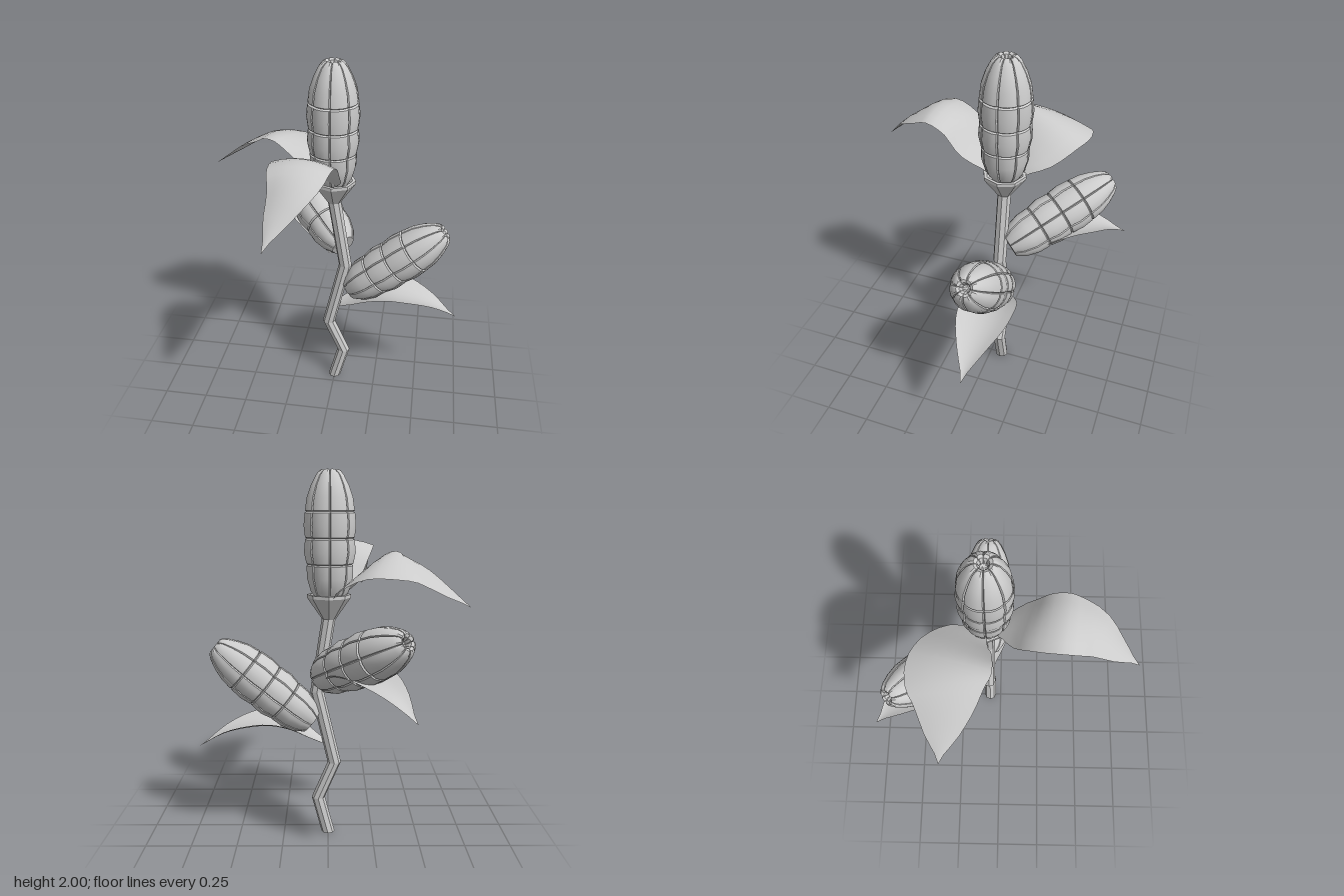
import * as THREE from 'three';
import { toCreasedNormals } from 'three/addons/utils/BufferGeometryUtils.js';

const smooth = new THREE.MeshStandardMaterial({ color: 0xcccccc });
const faceted = new THREE.MeshStandardMaterial({ color: 0xcccccc, flatShading: true });
const thin = new THREE.MeshStandardMaterial({ color: 0xcccccc, side: THREE.DoubleSide });

function addMesh(parent, name, geometry, material) {
  const mesh = new THREE.Mesh(geometry, material);
  mesh.name = name;
  parent.add(mesh);
  return mesh;
}

// Surface through a grid of points; point(i, j) returns [x, y, z].
function gridSurface(rows, cols, point, closed) {
  const positions = [], index = [];
  const stride = closed ? cols : cols + 1;
  for (let i = 0; i <= rows; i++)
    for (let j = 0; j < stride; j++) positions.push(...point(i, j));
  for (let i = 0; i < rows; i++)
    for (let j = 0; j < cols; j++) {
      const k = (j + 1) % stride;
      const a = i * stride + j, b = i * stride + k;
      index.push(a, b, b + stride, a, b + stride, a + stride);
    }
  const geometry = new THREE.BufferGeometry();
  geometry.setAttribute('position', new THREE.Float32BufferAttribute(positions, 3));
  geometry.setIndex(index);
  geometry.computeVertexNormals();
  return geometry;
}

// Zigzag stem: octagonal rings [x, y, radius].
function stemGeometry() {
  const rings = [[0, 0, 0.001], [0, 0, 0.037], [0.055, 0.21, 0.037], [-0.035, 0.42, 0.037],
    [0.06, 0.83, 0.037], [-0.008, 1.26, 0.037]];
  return gridSurface(rings.length - 1, 8, (i, j) => {
    const [x, y, r] = rings[i], a = (j / 8) * Math.PI * 2;
    return [x + r * Math.sin(a), y, r * Math.cos(a) - 0.07];
  }, true);
}

// Cob: profile [height, radius] with notches between kernel rows, grooved into 8 columns.
function cobGeometry() {
  const profile = [[0, 0.001], [0, 0.07], [0.05, 0.102], [0.12, 0.122], [0.184, 0.124],
    [0.19, 0.116], [0.196, 0.125], [0.255, 0.137], [0.319, 0.131], [0.325, 0.122],
    [0.331, 0.131], [0.39, 0.138], [0.454, 0.132], [0.46, 0.122], [0.466, 0.13],
    [0.53, 0.121], [0.59, 0.1], [0.64, 0.074], [0.663, 0.056], [0.67, 0.042],
    [0.662, 0.028], [0.63, 0.018], [0.625, 0.001]];
  const across = [0, 0.05, 0.25, 0.5, 0.75, 0.95];
  const depth = [0.01, 0.003, 0, 0, 0, 0.003];
  return toCreasedNormals(gridSurface(profile.length - 1, 48, (i, j) => {
    const [h, r] = profile[i], k = j % 6;
    const a = (Math.floor(j / 6) + across[k]) * Math.PI / 4;
    const d = Math.min(depth[k], r * 0.3);
    const y = h > 0.655 ? h - depth[k] * 1.5 : h;
    return [(r - d) * Math.sin(a), y, (r - d) * Math.cos(a)];
  }, true), 0.6);
}

// Leaf: spine [x, y, z, halfWidth]; fold lifts or drops both edges, roll tips it sideways.
function leafGeometry(spine, fold, roll) {
  const path = new THREE.CatmullRomCurve3(spine.map(s => new THREE.Vector3(s[0], s[1], s[2])));
  const widths = new THREE.SplineCurve(spine.map((s, i) => new THREE.Vector2(i, s[3])));
  const rows = 18, cols = 6;
  return gridSurface(rows, cols, (i, j) => {
    const t = i / rows, s = (j / cols) * 2 - 1;
    const p = path.getPoint(t), d = path.getTangent(t).setY(0).normalize();
    const w = Math.max(widths.getPoint(t).y, 0.001);
    return [p.x - d.z * w * s, p.y + w * (fold * s * s + roll * s), p.z + d.x * w * s];
  }, false);
}

export function createModel() {
  const model = new THREE.Group();
  model.name = 'cornPlant';
  addMesh(model, 'stem', stemGeometry(), faceted);

  // Flared cup under the upright cob
  const cupProfile = [[0.037, 1.23], [0.117, 1.345], [0.117, 1.362], [0.1, 1.362], [0.03, 1.3]];
  const cup = addMesh(model, 'cup',
    new THREE.LatheGeometry(cupProfile.map(p => new THREE.Vector2(...p)), 8), faceted);
  cup.position.set(-0.005, 0, -0.07);

  // Three cobs, each placed from base to tip
  const cob = cobGeometry();
  const up = new THREE.Vector3(0, 1, 0);
  const cobs = [
    ['topCob', [-0.01, 1.33, -0.07], [-0.01, 2, -0.07]],
    ['leftCob', [0.09, 0.66, -0.08], [0.6, 1.08, -0.08]],
    ['backCob', [0.04, 0.925, -0.12], [-0.365, 1.2, -0.565]],
  ];
  for (const [name, base, tip] of cobs) {
    const mesh = addMesh(model, name, cob, smooth);
    mesh.position.set(...base);
    const axis = new THREE.Vector3(...tip).sub(mesh.position).normalize();
    mesh.quaternion.setFromUnitVectors(up, axis);
  }

  // Upper leaves growing out of the cup
  addMesh(model, 'frontLeaf', leafGeometry([
    [-0.03, 1.36, -0.01, 0.05], [-0.06, 1.47, 0.1, 0.125], [-0.09, 1.585, 0.2, 0.15],
    [-0.11, 1.63, 0.32, 0.155], [-0.125, 1.575, 0.44, 0.13], [-0.175, 1.46, 0.57, 0.07],
    [-0.22, 1.34, 0.69, 0]], -0.2, 0), thin);
  addMesh(model, 'rightLeaf', leafGeometry([
    [-0.06, 1.36, -0.11, 0.06], [-0.14, 1.46, -0.17, 0.15], [-0.25, 1.545, -0.22, 0.2],
    [-0.35, 1.55, -0.245, 0.205], [-0.47, 1.5, -0.25, 0.155], [-0.6, 1.41, -0.265, 0.085],
    [-0.72, 1.32, -0.28, 0]], -0.1, -0.25), thin);

  // Lower leaves share one shape, turned about the stem
  const lowerLeaf = leafGeometry([
    [0, 0, 0, 0.05], [0.08, 0.04, 0, 0.095], [0.17, 0.085, 0, 0.135], [0.28, 0.11, 0, 0.15],
    [0.4, 0.1, 0, 0.135], [0.54, 0.06, 0, 0.075], [0.68, -0.02, 0, 0]], 0.28, 0);
  const leftLeaf = addMesh(model, 'leftLeaf', lowerLeaf, thin);
  leftLeaf.position.set(0.03, 0.54, -0.085);
  const backLeaf = addMesh(model, 'backLeaf', lowerLeaf, thin);
  backLeaf.position.set(0, 0.86, -0.14);
  backLeaf.rotation.y = Math.atan2(0.55, -0.42);

  return model;
}
